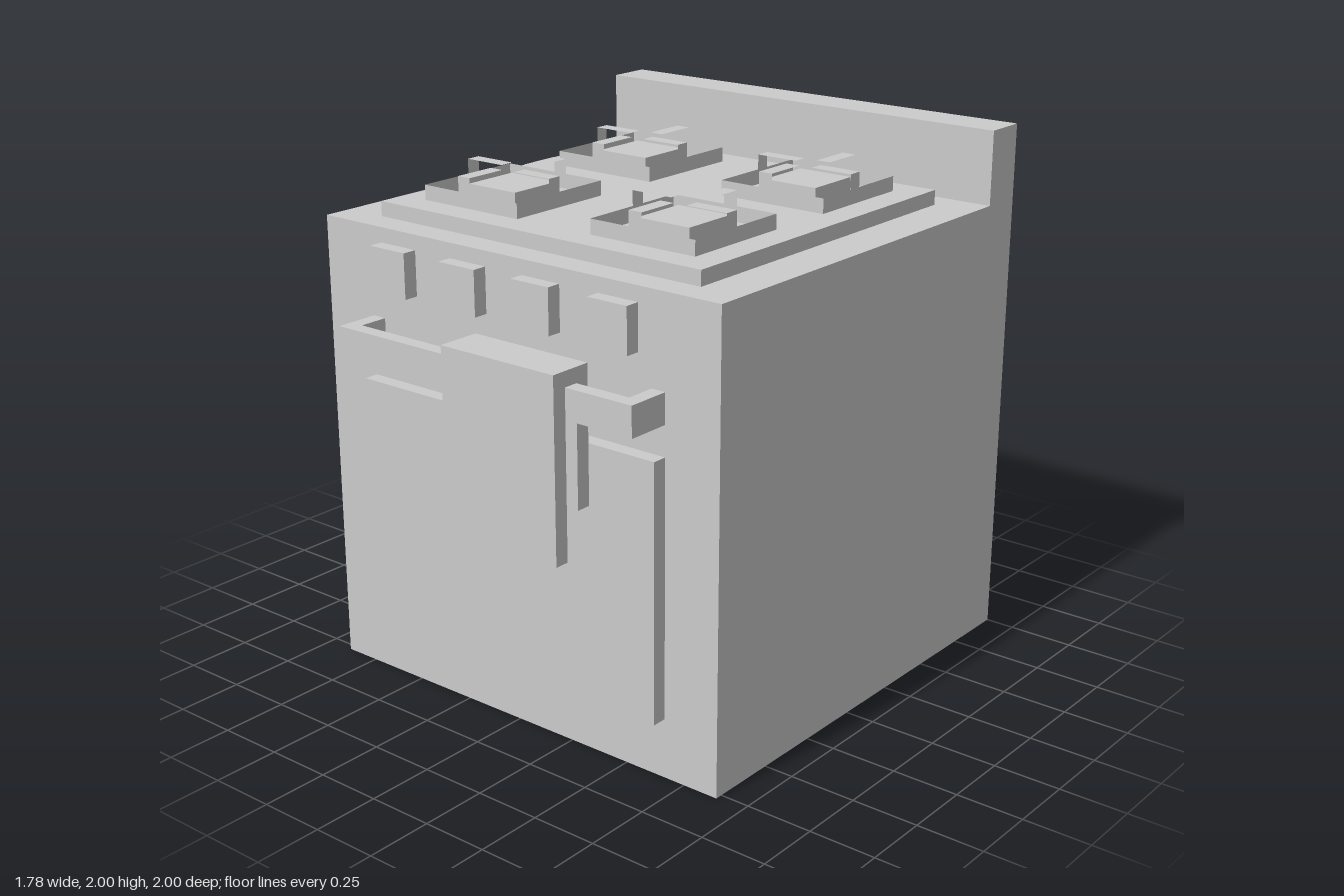
import * as THREE from 'three';

const U = 1 / 18; // all parts snap to this step

export function createModel() {
  const grey = new THREE.MeshStandardMaterial({ color: 0xcccccc, flatShading: true });
  const thin = new THREE.MeshStandardMaterial({ color: 0xcccccc, flatShading: true, side: THREE.DoubleSide });
  const model = new THREE.Group();
  model.name = 'stove';

  const add = (parent, name, geometry, material = grey) => {
    const mesh = new THREE.Mesh(geometry, material);
    mesh.name = name;
    parent.add(mesh);
    return mesh;
  };
  // box given by its limits, in steps
  const box = (parent, name, [x0, x1], [y0, y1], [z0, z1]) => {
    const g = new THREE.BoxGeometry((x1 - x0) * U, (y1 - y0) * U, (z1 - z0) * U);
    g.translate((x0 + x1) / 2 * U, (y0 + y1) / 2 * U, (z0 + z1) / 2 * U);
    return add(parent, name, g);
  };
  // side outline of [z, y] steps, extruded from x0 to x1
  const extrudeSide = (parent, name, outline, x0, x1) => {
    const shape = new THREE.Shape(outline.map(([z, y]) => new THREE.Vector2(-z * U, y * U)));
    const g = new THREE.ExtrudeGeometry(shape, { depth: (x1 - x0) * U, bevelEnabled: false });
    g.rotateY(Math.PI / 2).translate(x0 * U, 0, 0);
    return add(parent, name, g);
  };

  // body with raised back panel
  extrudeSide(model, 'body',
    [[14, 0], [-18, 0], [-18, 36], [-15, 36], [-15, 31], [14, 31]], -16, 16);
  box(model, 'cooktop', [-13, 13], [31, 32], [-13, 12]);
  box(model, 'ovenDoor', [-12, 12], [4, 21], [14, 15]);

  // control knobs
  for (const x of [-11, -5, 1, 7]) box(model, 'knob', [x, x + 3], [27, 30], [14, 15]);

  // door handle
  const handle = new THREE.Group();
  handle.name = 'handle';
  model.add(handle);
  box(handle, 'handleBar', [-12, 12], [23, 25], [16, 17]);
  for (const x of [-12, 11]) box(handle, 'handlePost', [x, x + 1], [23, 25], [14, 16]);

  // towel folded over the handle
  extrudeSide(model, 'towel',
    [[18, 14], [17, 14], [17, 25], [16, 25], [16, 17], [15, 17], [15, 26], [18, 26]], -2, 7);

  // burners: a cap inside a thin square grate with four bent fingers
  for (const x of [-7, 7]) for (const z of [-7, 6]) {
    const burner = new THREE.Group();
    burner.name = 'burner';
    burner.position.set(x * U, 32 * U, z * U);
    model.add(burner);
    box(burner, 'burnerCap', [-2, 2], [0, 1], [-2, 2]);
    for (let i = 0; i < 4; i++) {
      const side = new THREE.Group();
      side.name = 'grateSide';
      side.rotation.y = i * Math.PI / 2;
      burner.add(side);
      add(side, 'grateWall', new THREE.PlaneGeometry(8 * U, U).translate(0, U / 2, 4 * U), thin);
      add(side, 'fingerRise', new THREE.PlaneGeometry(U, U).translate(-U / 2, 1.5 * U, 4 * U), thin);
      add(side, 'fingerTop',
        new THREE.PlaneGeometry(U, 3 * U).rotateX(-Math.PI / 2).translate(-U / 2, 2 * U, 2.5 * U), thin);
    }
  }
  return model;
}
